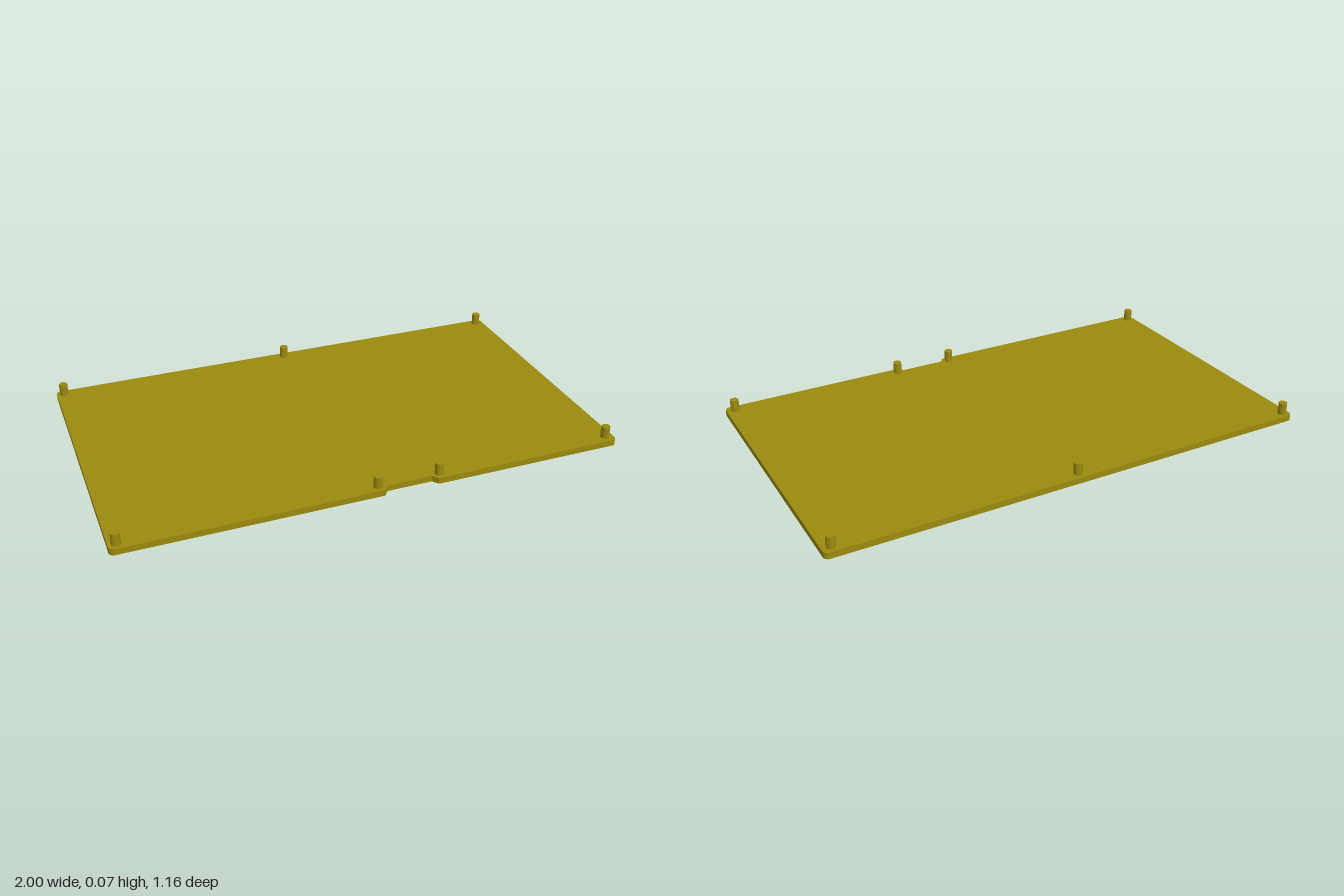
import * as THREE from 'three';

export function createModel() {
  const model = new THREE.Group();
  const material = new THREE.MeshStandardMaterial({ color: 0x9b8a0e });
  const W = 1, D = 0.58, R = 0.02, T = 0.025, TOP = 0.073;

  // Plate outline (shape y = -z): rounded corners and a shallow notch in the front edge
  const s = new THREE.Shape();
  s.moveTo(-W + R, -D);
  s.lineTo(0.012, -D);
  s.lineTo(0.03, -0.556);
  s.lineTo(0.21, -0.556);
  s.lineTo(0.228, -D);
  s.lineTo(W - R, -D);
  s.absarc(W - R, -D + R, R, -Math.PI / 2, 0);
  s.absarc(W - R, D - R, R, 0, Math.PI / 2);
  s.absarc(-W + R, D - R, R, Math.PI / 2, Math.PI);
  s.absarc(-W + R, -D + R, R, Math.PI, Math.PI * 1.5);
  const plateGeo = new THREE.ExtrudeGeometry(s, { depth: T, bevelEnabled: false, curveSegments: 4 });
  plateGeo.rotateX(-Math.PI / 2);
  const plate = new THREE.Mesh(plateGeo, material);
  plate.name = 'coverPlate';
  model.add(plate);

  // Locating pegs standing along the front and back edges
  const pegs = new THREE.Group();
  pegs.name = 'pegs';
  const pegGeo = new THREE.CylinderGeometry(0.017, 0.017, TOP - T / 2, 20);
  const spots = [
    [-0.97, -0.55], [0.005, -0.55], [0.965, -0.55],
    [-0.97, 0.55], [-0.005, 0.55], [0.242, 0.55], [0.965, 0.545],
  ];
  for (const [x, z] of spots) {
    const peg = new THREE.Mesh(pegGeo, material);
    peg.name = 'peg';
    peg.position.set(x, (TOP + T / 2) / 2, z);
    pegs.add(peg);
  }
  model.add(pegs);
  return model;
}
